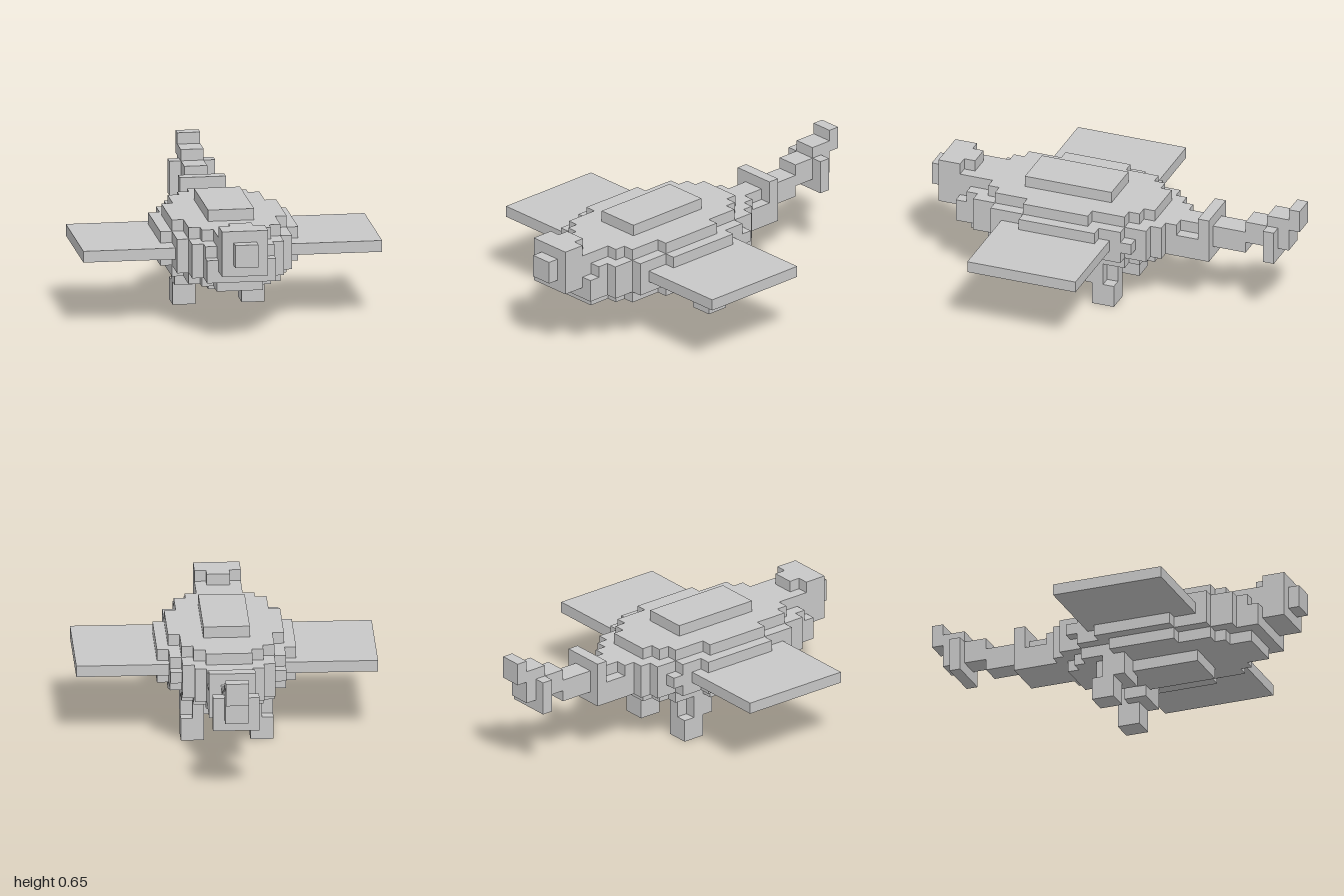
import * as THREE from 'three';

const U = 2 / 34; // one grid cell

export function createModel() {
  const model = new THREE.Group();
  model.name = 'blockFlyer';
  const grey = new THREE.MeshStandardMaterial({ color: 0xc8c8c8 });
  grey.name = 'plain grey';

  // box given by its limits in grid cells
  function block(name, x0, x1, y0, y1, z0, z1) {
    const geo = new THREE.BoxGeometry((x1 - x0) * U, (y1 - y0) * U, (z1 - z0) * U);
    const mesh = new THREE.Mesh(geo, grey);
    mesh.name = name;
    mesh.position.set((x0 + x1) * U / 2, (y0 + y1) * U / 2, (z0 + z1) * U / 2);
    model.add(mesh);
  }
  // box centred on x = 0 with a half width
  const centred = (name, half, y0, y1, z0, z1) => block(name, -half, half, y0, y1, z0, z1);
  // matching boxes on the left and right
  function pair(name, x0, x1, y0, y1, z0, z1) {
    block(name + 'Left', x0, x1, y0, y1, z0, z1);
    block(name + 'Right', -x1, -x0, y0, y1, z0, z1);
  }

  // body core, stepped in plan: half width, back z, front z
  for (const [half, z0, z1] of [[2, -4, 13], [3, -3, 11], [4, -2, 10], [5, 1, 7]]) {
    centred('bodyCore', half, 4, 9, z0, z1);
  }
  // wider middle band of the body
  for (const [half, z0, z1] of [[3, -5, 13], [4, -4, 12], [5, -2, 10], [6, 0, 7]]) {
    centred('bodyBand', half, 5, 8, z0, z1);
  }
  centred('rearRim', 5, 6, 7, -3, -2);
  centred('collar', 3, 5, 7, 12, 14);

  // plates on the back and belly
  centred('backPlate', 2, 9, 10, 0, 8);
  centred('bellyPlate', 2, 3, 4, 0, 8);

  // wings
  pair('wing', 5, 13, 6, 7, -1, 9);

  // head and snout
  centred('head', 2, 6, 9, 13, 16);
  centred('headTop', 2, 9, 10, 14, 16);
  centred('headCrest', 1, 9, 10, 13, 14);
  centred('snout', 1, 7, 9, 16, 17);

  // legs
  pair('thigh', 1, 4, 2, 4, 0, 2);
  pair('heel', 2, 3, 2, 4, -1, 0);
  pair('foot', 2, 4, 0, 2, -1, 1);

  // tail, from the body to the raised tip
  centred('tailBase', 2, 5, 8, -6, -4);
  centred('tailSides', 2, 5, 7, -9, -6);
  centred('tailRidge', 1, 7, 8, -9, -6);
  centred('tailSpike', 2, 7, 9, -9, -8);
  centred('tailMiddle', 1, 6, 8, -12, -9);
  centred('tailRise', 1, 7, 9, -14, -12);
  centred('tailEnd', 1, 7, 10, -16, -14);
  centred('tailFin', 2, 6, 9, -15, -14);
  centred('tailTip', 1, 9, 11, -17, -16);

  return model;
}
